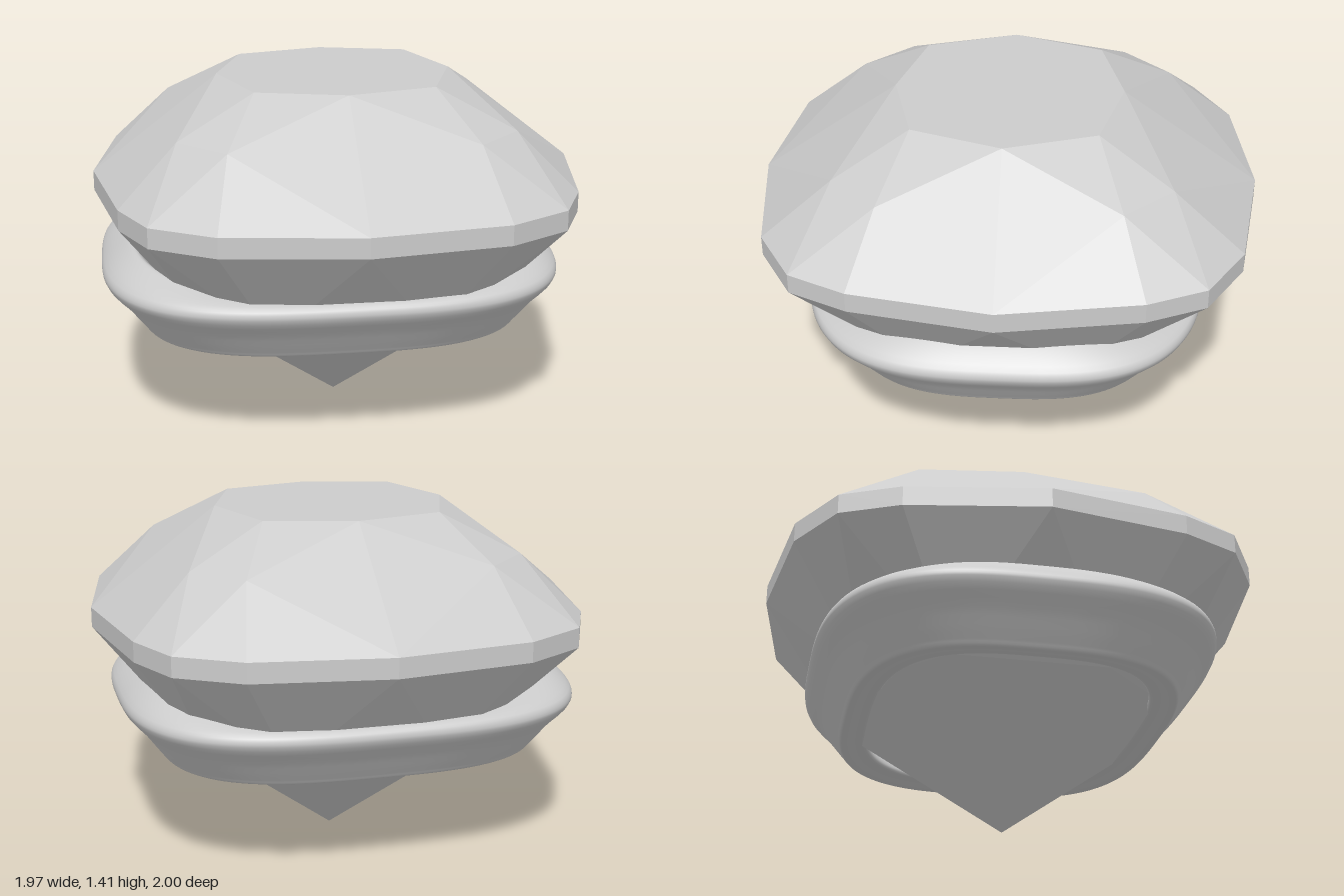
import * as THREE from 'three';
import { ConvexGeometry } from 'three/addons/geometries/ConvexGeometry.js';

const grey = (flatShading) => new THREE.MeshStandardMaterial({ color: 0xcccccc, flatShading });

// Mirror one quadrant of corner points [x, z] at height y into all four.
function mirrored(y, corners) {
  const points = [];
  for (const [x, z] of corners) {
    for (const sx of x ? [1, -1] : [1]) {
      for (const sz of z ? [1, -1] : [1]) points.push(new THREE.Vector3(sx * x, y, sz * z));
    }
  }
  return points;
}

// Cushion-cut stone: the facets are the hull of its corner levels.
function createGem() {
  const girdle = [[0.985, 0], [0.89, 0.55], [0.785, 0.78], [0.54, 0.925], [0, 1]];
  const points = [
    ...mirrored(1.41, [[0.475, 0], [0.355, 0.36], [0, 0.455]]), // table
    ...mirrored(1.25, [[0.66, 0.46], [0.48, 0.65]]), // crown
    ...mirrored(1.02, girdle),
    ...mirrored(0.94, girdle),
    ...mirrored(0.49, [[0.59, 0.31], [0.31, 0.6]]), // pavilion
    ...mirrored(0, [[0, 0]]), // point
  ];
  const gem = new THREE.Mesh(new ConvexGeometry(points), grey(true));
  gem.name = 'gem';
  return gem;
}

// Leaning collar: a rounded section swept round a rounded-square outline.
function createCollar() {
  // [inset from the outline, height, extra height on the left and right sides]
  const section = new THREE.CatmullRomCurve3([
    [0.145, 0.455, 0], [0.075, 0.55, 0], [0.005, 0.64, 0], [0.015, 0.68, 0],
    [0.1, 0.695, 0.055], [0.135, 0.69, 0.07], [0.175, 0.64, 0.05], [0.245, 0.52, 0],
    [0.265, 0.455, 0], [0.225, 0.445, 0], [0.165, 0.432, 0],
  ].map((p) => new THREE.Vector3(...p)), true, 'centripetal').getPoints(44);
  section.pop();

  const around = 128, n = section.length;
  const round = (v) => Math.sign(v) * Math.abs(v) ** (2 / 3);
  const positions = [], index = [];
  for (let i = 0; i < around; i++) {
    const t = (i / around) * Math.PI * 2;
    const c = Math.cos(t), s = Math.sin(t);
    section.forEach((p, j) => {
      positions.push((0.937 - p.x) * round(c) - 0.035, p.y + p.z * c * c, (0.815 - p.x) * round(s));
      const i2 = (i + 1) % around, j2 = (j + 1) % n;
      const a = i * n + j, b = i * n + j2, d = i2 * n + j, e = i2 * n + j2;
      index.push(a, b, d, b, e, d);
    });
  }
  const geometry = new THREE.BufferGeometry();
  geometry.setAttribute('position', new THREE.Float32BufferAttribute(positions, 3));
  geometry.setIndex(index);
  geometry.computeVertexNormals();
  const collar = new THREE.Mesh(geometry, grey(false));
  collar.name = 'collar';
  return collar;
}

export function createModel() {
  const model = new THREE.Group();
  model.name = 'setGemstone';
  model.add(createGem(), createCollar());
  return model;
}
